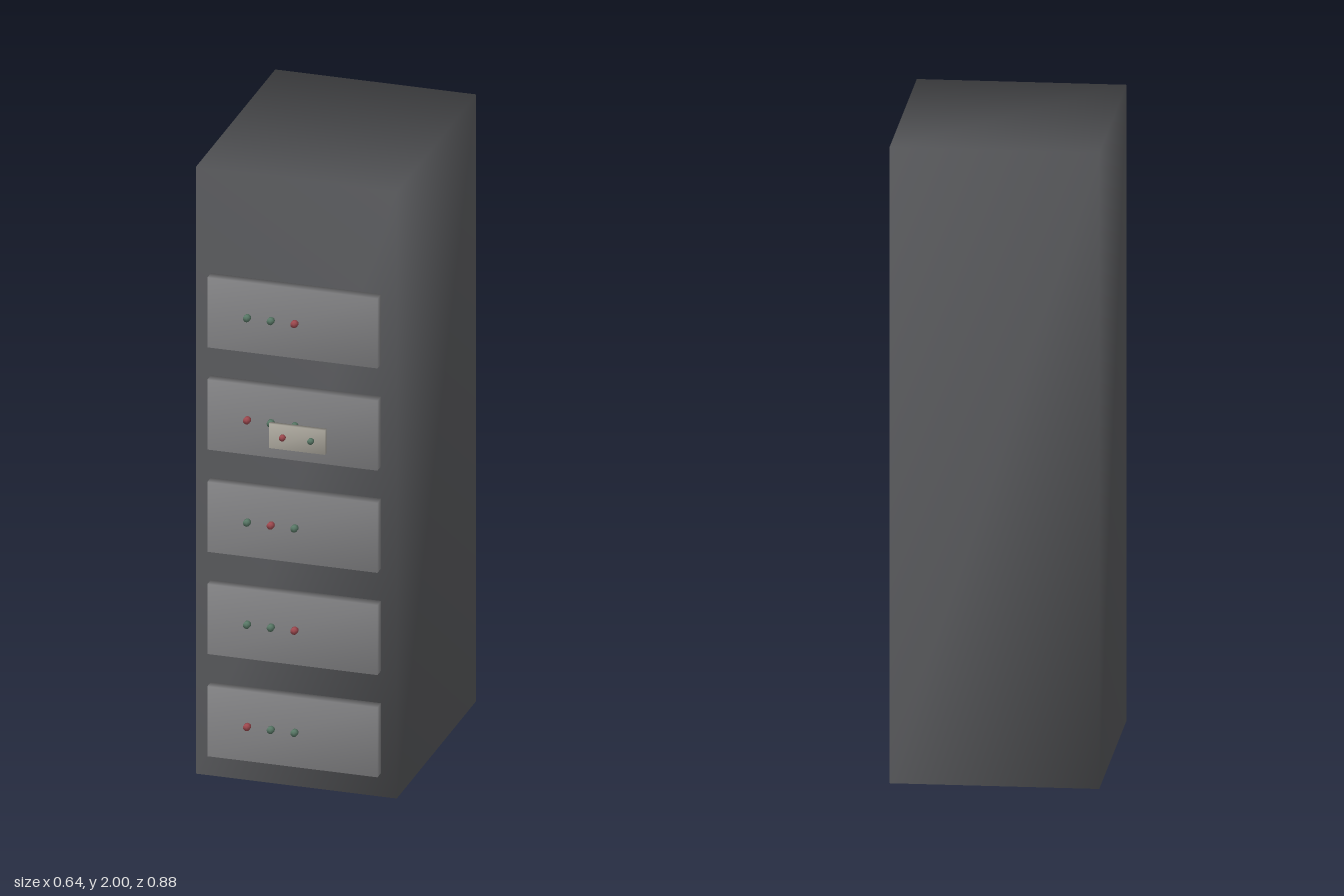
import * as THREE from 'three';
import { mergeVertices } from 'three/addons/utils/BufferGeometryUtils.js';

const paint = (color) => new THREE.MeshStandardMaterial({ color });
const bodyPaint = paint(0x5e5f62);
const drawerPaint = paint(0x828284);
const panelPaint = paint(0xaaa69c);
const lampPaint = { r: paint(0xa04a50), g: paint(0x5a7a68) };

// Shared corners give normals that run smoothly across the edges
function smooth(geometry) {
  geometry.deleteAttribute('normal');
  geometry.deleteAttribute('uv');
  const merged = mergeVertices(geometry);
  merged.computeVertexNormals();
  return merged;
}

// Box given by its lower and upper corners
function block(name, material, [x0, y0, z0], [x1, y1, z1]) {
  const mesh = new THREE.Mesh(smooth(new THREE.BoxGeometry(x1 - x0, y1 - y0, z1 - z0)), material);
  mesh.position.set((x0 + x1) / 2, (y0 + y1) / 2, (z0 + z1) / 2);
  mesh.name = name;
  return mesh;
}

const lampGeometry = smooth(new THREE.CylinderGeometry(1, 1, 1, 12).rotateX(Math.PI / 2));

// Short round lamp standing out from a face at z
function lamp(color, x, y, z, radius, depth) {
  const mesh = new THREE.Mesh(lampGeometry, lampPaint[color]);
  mesh.scale.set(radius, radius, depth);
  mesh.position.set(x, y, z + depth / 2);
  mesh.name = 'indicatorLamp';
  return mesh;
}

export function createModel() {
  const model = new THREE.Group();
  model.name = 'equipmentCabinet';
  model.add(block('cabinetBody', bodyPaint, [-0.32, 0, -0.44], [0.32, 2, 0.355]));

  // Five equipment units, bottom to top, each with three lamps
  ['rgg', 'ggr', 'grg', 'rgg', 'ggr'].forEach((colors, row) => {
    const y = 0.193 + row * 0.337;
    const unit = new THREE.Group();
    unit.name = 'equipmentUnit';
    unit.add(block('unitFront', drawerPaint, [-0.272, y - 0.115, 0.355], [0.27, y + 0.115, 0.391]));
    [...colors].forEach((c, i) => unit.add(lamp(c, -0.143 + i * 0.0755, y + 0.001, 0.391, 0.011, 0.015)));
    model.add(unit);
  });

  // Small control panel in front of the fourth unit
  const panel = new THREE.Group();
  panel.name = 'controlPanel';
  panel.add(block('panelPlate', panelPaint, [-0.065, 1.135, 0.41], [0.114, 1.215, 0.426]));
  panel.add(lamp('r', -0.02, 1.176, 0.426, 0.0095, 0.011));
  panel.add(lamp('g', 0.07, 1.176, 0.426, 0.0095, 0.011));
  model.add(panel);

  return model;
}
